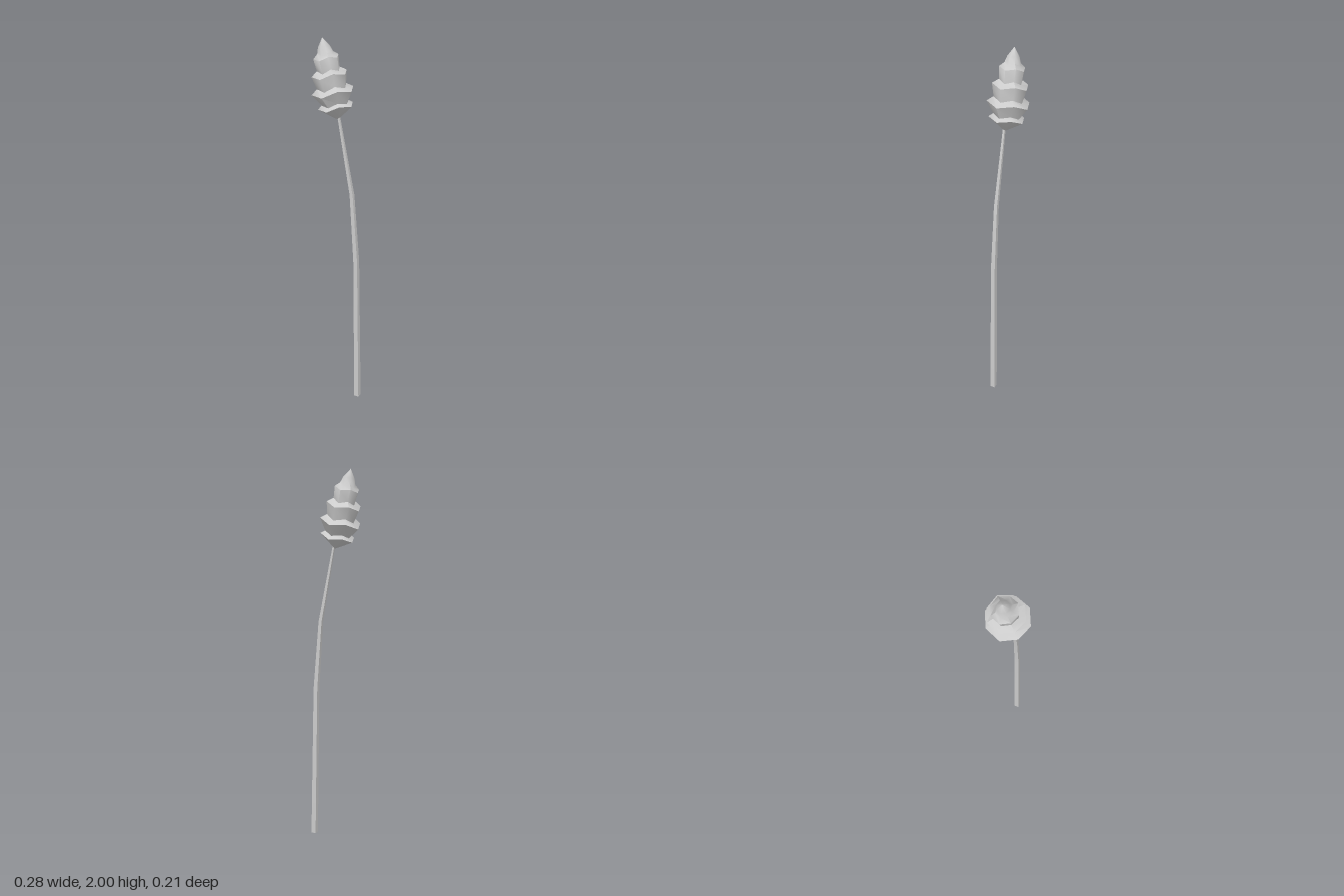
import * as THREE from 'three';
import { toCreasedNormals } from 'three/addons/utils/BufferGeometryUtils.js';

const material = new THREE.MeshStandardMaterial({ color: 0xcccccc, side: THREE.DoubleSide });

// Square stalk, bent and tapered: each level is [x, y, half width]
function createStalk() {
  const levels = [[0.119, 0, 0.0135], [0.102, 0.85, 0.0115], [0.073, 1.22, 0.009], [-0.008, 1.63, 0.005]];
  const n = levels.length - 1;
  const geometry = new THREE.CylinderGeometry(Math.SQRT2, Math.SQRT2, n, 4, n, false, Math.PI / 4);
  const p = geometry.attributes.position;
  for (let i = 0; i < p.count; i++) {
    const [x, y, half] = levels[Math.round(p.getY(i) + n / 2)];
    p.setXYZ(i, x + p.getX(i) * half, y, p.getZ(i) * half);
  }
  const mesh = new THREE.Mesh(toCreasedNormals(geometry, 0.7), material);
  mesh.name = 'stalk';
  return mesh;
}

// Eight-sided seed head: flaring tiers with zigzag rims, leaning to one side
function createSeedHead() {
  // radius, height, zigzag lift of every other corner
  const profile = [
    [0, 0, 0],
    [0.09, 0.056, 0.014], [0.068, 0.072, 0.014],
    [0.107, 0.128, 0.018], [0.075, 0.15, 0.018],
    [0.09, 0.215, 0.016], [0.058, 0.236, 0.016],
    [0.064, 0.3, 0.012], [0.04, 0.322, 0.01],
    [0.03, 0.362, 0], [0, 0.405, 0],
  ];
  const sides = 8;
  const geometry = new THREE.LatheGeometry(profile.map(([r, h]) => new THREE.Vector2(r, h)), sides);
  const p = geometry.attributes.position;
  for (let i = 0; i < p.count; i++) {
    const corner = Math.floor(i / profile.length);
    const lift = profile[i % profile.length][2];
    if (corner % 2) p.setY(i, p.getY(i) + lift);
  }
  const mesh = new THREE.Mesh(toCreasedNormals(geometry, 0.9), material);
  mesh.name = 'seedHead';
  mesh.position.set(-0.01, 1.605, 0);
  mesh.rotation.z = 0.224;
  return mesh;
}

export function createModel() {
  const group = new THREE.Group();
  group.name = 'seedStalk';
  group.add(createStalk(), createSeedHead());
  return group;
}
